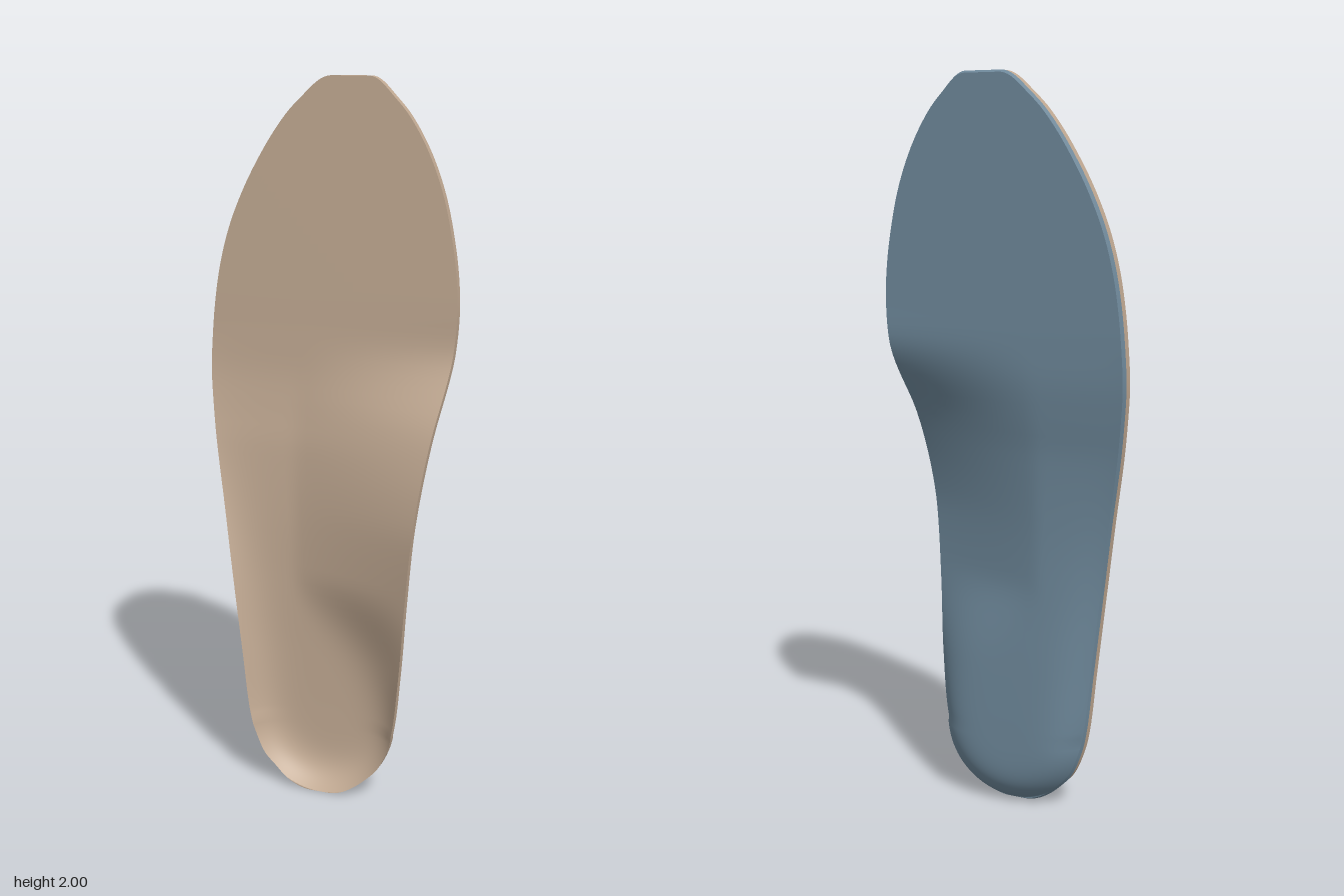
import * as THREE from 'three';

const ROWS = 110, COLS = 40;
const clamp = THREE.MathUtils.clamp, lerp = THREE.MathUtils.lerp;

// Smooth interpolation through [y, value] pairs, eased so both ends close roundly
function profile(pairs) {
  const k = pairs.map(([y, v]) => [Math.acos(1 - y), v]);
  const slope = i => {
    const a = k[Math.max(i - 1, 0)], b = k[Math.min(i + 1, k.length - 1)];
    return (b[1] - a[1]) / (b[0] - a[0]);
  };
  return y => {
    const t = Math.acos(clamp(1 - y, -1, 1));
    let i = 0;
    while (i < k.length - 2 && t > k[i + 1][0]) i++;
    const w = k[i + 1][0] - k[i][0], s = clamp((t - k[i][0]) / w, 0, 1);
    const s2 = s * s, s3 = s2 * s;
    return (2 * s3 - 3 * s2 + 1) * k[i][1] + (s3 - 2 * s2 + s) * w * slope(i)
      + (3 * s2 - 2 * s3) * k[i + 1][1] + (s3 - s2) * w * slope(i + 1);
  };
}

// Outline: outer (-x) and inner (+x) edges from heel to toe
const outerEdge = profile([[0, -0.03], [0.05, -0.135], [0.1, -0.18], [0.2, -0.215], [0.4, -0.24],
  [0.6, -0.265], [0.8, -0.295], [1, -0.33], [1.1, -0.345], [1.2, -0.355], [1.3, -0.352], [1.4, -0.342],
  [1.5, -0.325], [1.6, -0.297], [1.7, -0.255], [1.8, -0.2], [1.9, -0.13], [1.96, -0.07], [2, 0]]);
const innerEdge = profile([[0, 0.015], [0.05, 0.125], [0.1, 0.17], [0.2, 0.208], [0.4, 0.235],
  [0.6, 0.258], [0.8, 0.28], [1, 0.305], [1.2, 0.332], [1.3, 0.343], [1.4, 0.35], [1.5, 0.345],
  [1.6, 0.33], [1.7, 0.307], [1.8, 0.27], [1.9, 0.213], [1.96, 0.16], [2, 0.1]]);

// Heights of the two rims and of the floor between them, up to the flat forefoot
const outerRim = profile([[0, 0.022], [0.2, 0.022], [0.5, 0.021], [0.65, 0.015], [0.8, 0],
  [1, -0.026], [1.1, -0.042], [1.2, -0.055], [1.3, -0.06], [1.4, -0.06]]);
const innerRim = profile([[0, 0.022], [0.2, 0.024], [0.4, 0.04], [0.6, 0.072], [0.8, 0.092],
  [0.9, 0.087], [1, 0.068], [1.1, 0.035], [1.2, -0.022], [1.25, -0.047], [1.3, -0.06], [1.4, -0.06]]);
const floor = profile([[0, -0.04], [0.2, -0.04], [0.4, -0.036], [0.6, -0.03], [0.8, -0.028],
  [1, -0.036], [1.1, -0.048], [1.2, -0.058], [1.3, -0.06], [1.4, -0.06]]);

// Foot-bed height: heel cup, raised arch on the inner side, flat forefoot
function bedHeight(x, y) {
  if (y >= 1.4) return -0.06;
  const base = floor(y);
  if (y < 0.2) {
    const q = Math.min(1, Math.hypot(x / 0.211, (0.2 - y) / 0.2));
    return base + (0.022 - base) * q ** 5;
  }
  const arch = THREE.MathUtils.smoothstep(y, 0.2, 0.65);
  const start = lerp(0, -0.1, arch);
  const rise = (edge, from, power) => clamp((x - from) / (edge - from), 0, 1) ** power;
  return base + (outerRim(y) - base) * rise(outerEdge(y), 0, 5)
    + (innerRim(y) - base) * rise(innerEdge(y), start, lerp(5, 1.2, arch));
}

// One face of a layer; inset draws the rim inwards to bevel it
function surfacePoints(offset, inset) {
  const pts = [];
  for (let i = 0; i <= ROWS; i++) {
    const y = 1 - Math.cos(Math.PI * i / ROWS);
    const l = outerEdge(y), r = innerEdge(y), mid = (l + r) / 2;
    for (let j = 0; j <= COLS; j++) {
      const u = Math.sin((j / COLS - 0.5) * Math.PI) * 0.5 + 0.5;
      const x = lerp(l, r, u);
      pts.push([mid + (x - mid) * (1 - inset * 3), 1 + (y - 1) * (1 - inset), bedHeight(x, y) + offset]);
    }
  }
  return pts;
}

// Closed sheet between two offsets, with a crisp edge wall
function layerGeometry(front, back, inset) {
  const f = surfacePoints(front, 0), b = surfacePoints(back, inset);
  const W = COLS + 1, index = [], rim = [];
  const nf = f.length;
  for (let i = 0; i < ROWS; i++) for (let j = 0; j < COLS; j++) {
    const a = i * W + j, c = a + W;
    index.push(a, a + 1, c + 1, a, c + 1, c);
    index.push(nf + a, nf + c + 1, nf + a + 1, nf + a, nf + c, nf + c + 1);
  }
  for (let j = 0; j < COLS; j++) rim.push(j);
  for (let i = 0; i < ROWS; i++) rim.push(i * W + COLS);
  for (let j = COLS; j > 0; j--) rim.push(ROWS * W + j);
  for (let i = ROWS; i > 0; i--) rim.push(i * W);
  const wall = 2 * nf, n = rim.length;
  const points = [...f, ...b, ...rim.map(k => f[k]), ...rim.map(k => b[k])];
  for (let k = 0; k < n; k++) {
    const m = (k + 1) % n, p = wall + k, q = wall + m;
    index.push(p + n, q + n, q, p + n, q, p);
  }
  const g = new THREE.BufferGeometry();
  g.setAttribute('position', new THREE.Float32BufferAttribute(points.flat(), 3));
  g.setIndex(index);
  g.computeVertexNormals();
  return g;
}

export function createModel() {
  const group = new THREE.Group();
  group.name = 'insole';
  const add = (name, color, front, back, inset) => {
    const mesh = new THREE.Mesh(layerGeometry(front, back, inset),
      new THREE.MeshStandardMaterial({ color }));
    mesh.name = name;
    group.add(mesh);
  };
  // Tan cushion on the foot side, thin blue base beneath it
  add('topCover', 0xc2aa93, 0, -0.024, 0);
  add('baseLayer', 0x6d8799, -0.024, -0.035, 0.006);
  return group;
}
